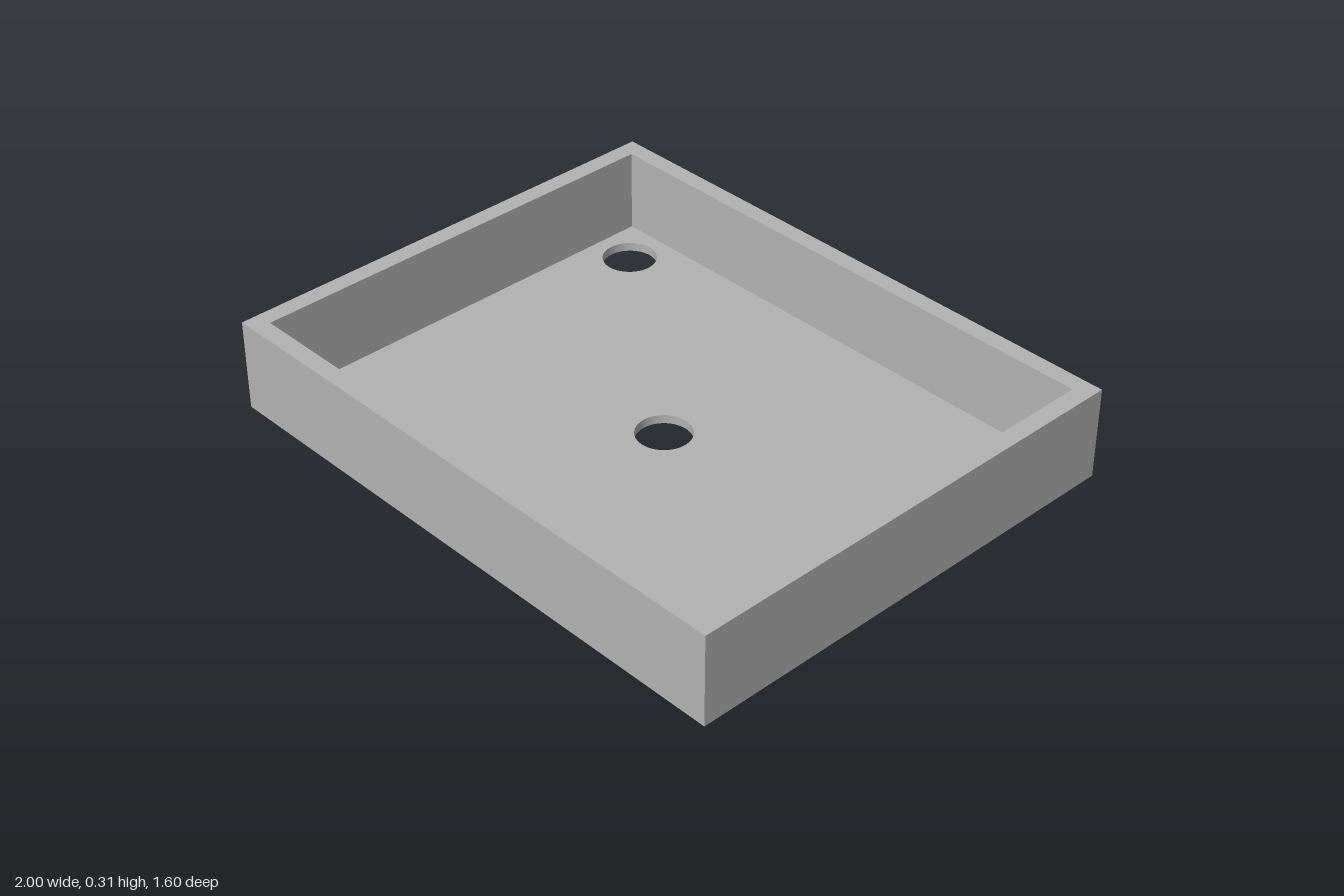
import * as THREE from 'three';

const WIDTH = 2, DEPTH = 1.6, HEIGHT = 0.31;
const WALL = 0.06, FLOOR = 0.03, HOLE_RADIUS = 0.09;

// Rectangle centred on the origin, as a Shape or Path
function rectangle(Type, w, d) {
  return new Type([
    new THREE.Vector2(-w / 2, -d / 2),
    new THREE.Vector2(w / 2, -d / 2),
    new THREE.Vector2(w / 2, d / 2),
    new THREE.Vector2(-w / 2, d / 2),
  ]);
}

// Extrude a plan shape upwards from y = bottom
function slab(name, shape, bottom, height, material) {
  const geometry = new THREE.ExtrudeGeometry(shape, {
    depth: height, bevelEnabled: false, curveSegments: 48,
  });
  geometry.rotateX(-Math.PI / 2);
  geometry.translate(0, bottom, 0);
  const mesh = new THREE.Mesh(geometry, material);
  mesh.name = name;
  return mesh;
}

export function createModel() {
  const model = new THREE.Group();
  model.name = 'tray';
  const grey = new THREE.MeshStandardMaterial({ color: 0xb2b2b2 });
  grey.name = 'grey';

  // Floor plate with a central hole and one near each corner
  const floor = rectangle(THREE.Shape, WIDTH, DEPTH);
  for (const [x, z] of [[0, 0], [-0.8, -0.6], [0.8, -0.6], [-0.8, 0.6], [0.8, 0.6]]) {
    floor.holes.push(new THREE.Path().absarc(x, z, HOLE_RADIUS, 0, Math.PI * 2, true));
  }
  model.add(slab('floor', floor, 0, FLOOR, grey));

  // Continuous rim wall standing on the floor plate
  const walls = rectangle(THREE.Shape, WIDTH, DEPTH);
  walls.holes.push(rectangle(THREE.Path, WIDTH - 2 * WALL, DEPTH - 2 * WALL));
  model.add(slab('walls', walls, FLOOR, HEIGHT - FLOOR, grey));

  return model;
}
